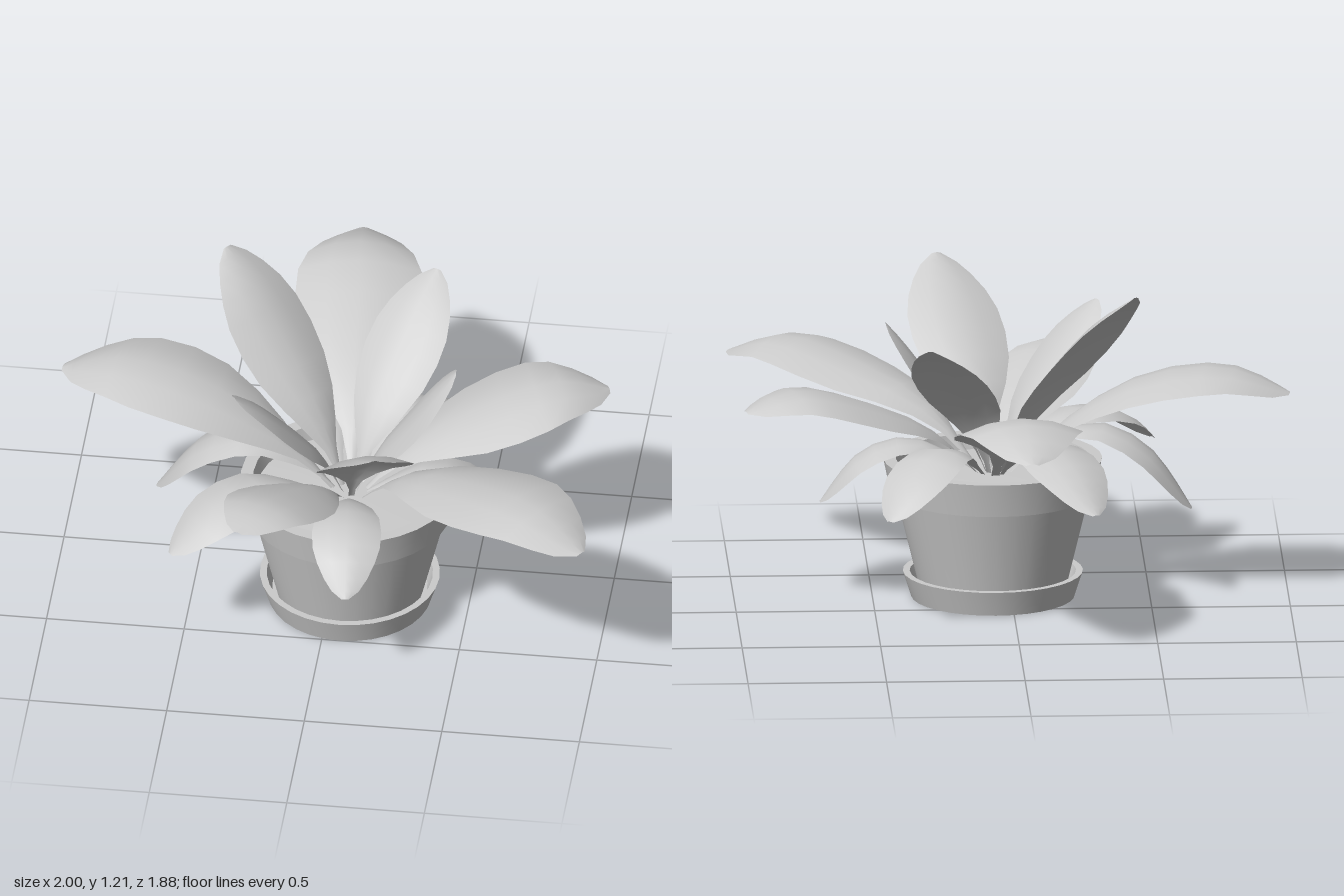
import * as THREE from 'three';
import { toCreasedNormals } from 'three/addons/utils/BufferGeometryUtils.js';

const CX = 0.065, CZ = 0.205; // pot axis
const grey = new THREE.MeshStandardMaterial({ color: 0xcccccc });
const leafMaterial = new THREE.MeshStandardMaterial({ color: 0xcccccc, side: THREE.DoubleSide });

// Half-width of a leaf along its length, relative to the widest point
const outline = [[0, 0.06], [0.1, 0.07], [0.18, 0.17], [0.27, 0.42], [0.38, 0.7], [0.5, 0.92],
  [0.62, 1], [0.73, 0.97], [0.82, 0.83], [0.9, 0.62], [0.96, 0.39], [1, 0.1]];

// Tip x, y, z; midrib heights at quarter, half and three-quarter reach; full width
const upperLeaves = [
  [-0.03, 0.79, -0.94, 0.65, 0.79, 0.885, 0.46],
  [-1.0, 0.79, 0.03, 0.67, 0.83, 0.875, 0.45],
  [0.97, 0.775, -0.1, 0.64, 0.76, 0.835, 0.44],
  [0.99, 0.75, 0.87, 0.67, 0.78, 0.84, 0.43],
  [-0.25, 0.77, 0.93, 0.6, 0.71, 0.79, 0.36],
];
const innerLeaves = [
  [-0.43, 1.21, -0.2, 0.72, 0.92, 1.11, 0.34],
  [0.31, 1.06, -0.36, 0.68, 0.84, 0.98, 0.3],
  [0.45, 1.02, 0.2, 0.63, 0.77, 0.92, 0.28],
  [-0.32, 1.03, 0.47, 0.66, 0.81, 0.95, 0.28],
  [0.24, 1.1, 0.88, 0.69, 0.86, 1.01, 0.35],
];
const lowerLeaves = [
  [0.69, 0.355, 0.21, 0.53, 0.585, 0.525, 0.26],
  [0.13, 0.455, 0.86, 0.54, 0.615, 0.59, 0.25],
  [-0.53, 0.46, 0.67, 0.55, 0.63, 0.59, 0.27],
  [-0.65, 0.345, 0.1, 0.57, 0.65, 0.56, 0.26],
  [-0.28, 0.48, -0.5, 0.57, 0.66, 0.61, 0.29],
  [0.46, 0.43, -0.37, 0.55, 0.625, 0.56, 0.26],
];

// Domed blade swept along an arching midrib, narrowing to a stalk at the base
function leafGeometry([tx, ty, tz, quarter, mid, shoulder, width]) {
  const reach = Math.hypot(tx - CX, tz - CZ);
  const dx = (tx - CX) / reach, dz = (tz - CZ) / reach;
  const rib = new THREE.SplineCurve([
    [0.03, 0.43], [0.25, quarter], [0.5, mid], [0.78, shoulder], [1, ty],
  ].map(([f, y]) => new THREE.Vector2(f * reach, y)));
  const cols = 4, positions = [], index = [];
  outline.forEach(([t, w], i) => {
    const p = rib.getPointAt(t), tangent = rib.getTangentAt(t);
    const half = w * width / 2;
    for (let j = 0; j <= cols; j++) {
      const s = j / cols * 2 - 1;
      const drop = 0.24 * half * s * s;
      const r = p.x + tangent.y * drop, y = p.y - tangent.x * drop;
      positions.push(CX + dx * r - dz * s * half, y, CZ + dz * r + dx * s * half);
      if (i < outline.length - 1 && j < cols) {
        const a = i * (cols + 1) + j, b = a + cols + 1;
        index.push(a, a + 1, b, a + 1, b + 1, b);
      }
    }
  });
  const g = new THREE.BufferGeometry();
  g.setAttribute('position', new THREE.Float32BufferAttribute(positions, 3));
  g.setIndex(index);
  g.computeVertexNormals();
  return g;
}

function leafRing(name, specs) {
  const ring = new THREE.Group();
  ring.name = name;
  for (const spec of specs) {
    const leaf = new THREE.Mesh(leafGeometry(spec), leafMaterial);
    leaf.name = 'leaf';
    ring.add(leaf);
  }
  return ring;
}

// Turned part around the pot axis, profile listed from the bottom outward and up
function turned(name, profile) {
  const g = new THREE.LatheGeometry(profile.map(([r, y]) => new THREE.Vector2(r, y)), 32);
  const mesh = new THREE.Mesh(toCreasedNormals(g, 0.5), grey);
  mesh.name = name;
  mesh.position.set(CX, 0, CZ);
  return mesh;
}

export function createModel() {
  const model = new THREE.Group();
  model.name = 'pottedPlant';
  model.add(
    turned('saucer', [[0, 0], [0.295, 0], [0.325, 0.093], [0.3, 0.093], [0.28, 0.03], [0, 0.03]]),
    turned('pot', [[0, 0.03], [0.265, 0.03], [0.352, 0.388], [0.37, 0.388], [0.395, 0.512],
      [0.35, 0.512], [0.335, 0.44]]),
    turned('soil', [[0.34, 0.455], [0.2, 0.46], [0, 0.465]]),
    leafRing('lowerLeaves', lowerLeaves),
    leafRing('upperLeaves', upperLeaves),
    leafRing('innerLeaves', innerLeaves),
  );
  return model;
}
